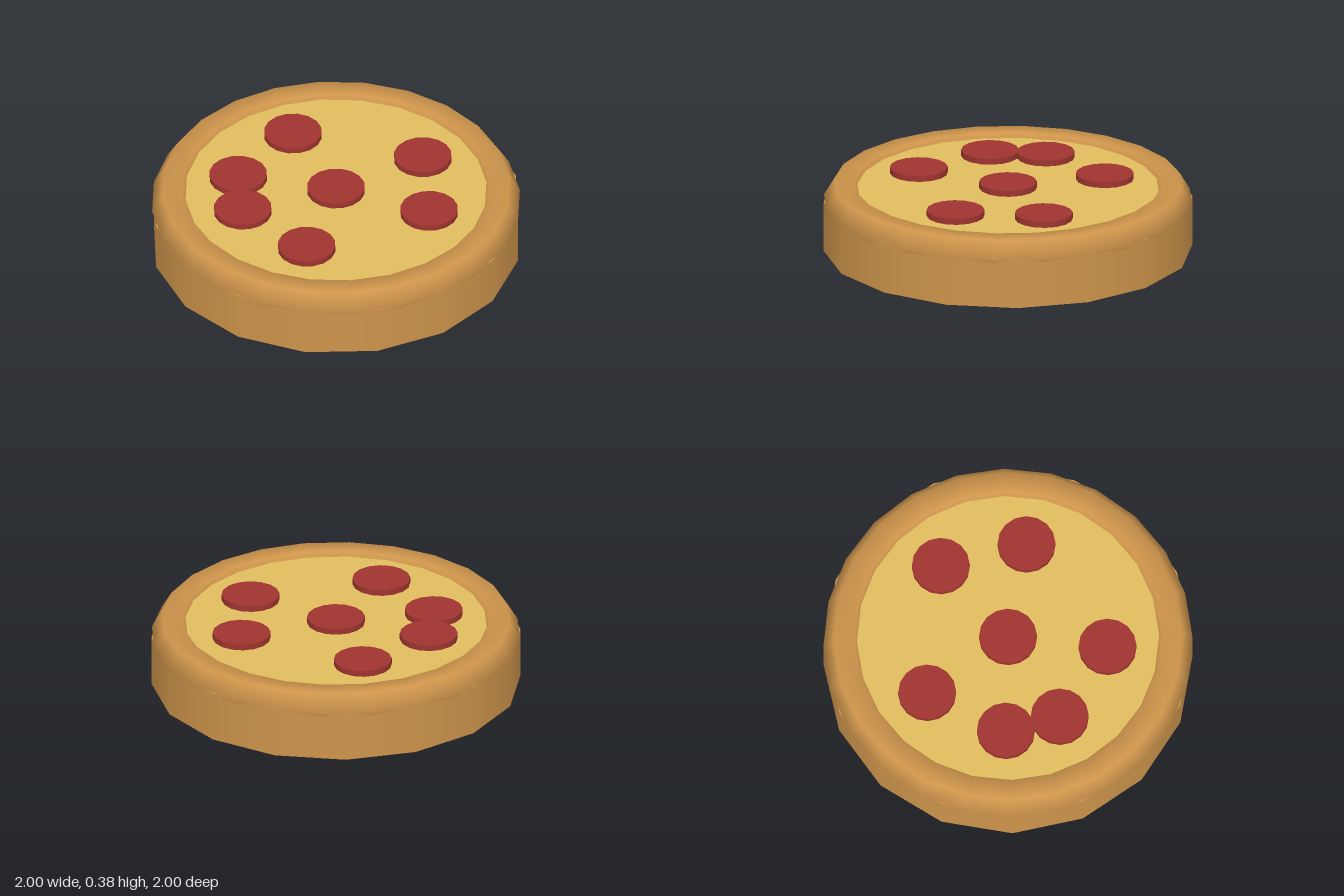
import * as THREE from 'three';

export function createModel() {
  const model = new THREE.Group();
  const crust = new THREE.MeshStandardMaterial({ color: 0xcd944b });
  const cheese = new THREE.MeshStandardMaterial({ color: 0xe0bc5e });
  const meat = new THREE.MeshStandardMaterial({ color: 0x9f3430 });

  const add = (name, geometry, material, x, y, z) => {
    const mesh = new THREE.Mesh(geometry, material);
    mesh.name = name;
    mesh.position.set(x, y, z);
    model.add(mesh);
    return mesh;
  };
  // Disc standing between two heights
  const disc = (name, radius, bottom, top, sides, material, x = 0, z = 0) =>
    add(name, new THREE.CylinderGeometry(radius, radius, top - bottom, sides), material, x, (bottom + top) / 2, z);

  // Thick dough base
  const baseTop = 0.278;
  disc('doughBase', 1, 0, baseTop, 16, crust);

  // Raised rim with a six-sided section
  const rim = new THREE.TorusGeometry(0.889, 0.111, 6, 24).rotateX(-Math.PI / 2);
  add('crustRim', rim, crust, 0, baseTop, 0).scale.y = 0.96;

  // Cheese filling, its edge tucked into the rim
  const cheeseTop = 0.345;
  disc('cheese', 0.86, baseTop, cheeseTop, 24, cheese);

  // Sausage slices
  const slices = [
    [0, 0], [0.045, -0.545], [0.455, -0.295], [-0.535, -0.095],
    [-0.4, 0.365], [-0.14, 0.52], [0.33, 0.43],
  ];
  slices.forEach(([x, z], i) => disc(`sausageSlice${i + 1}`, 0.157, cheeseTop - 0.03, 0.378, 16, meat, x, z));

  return model;
}
